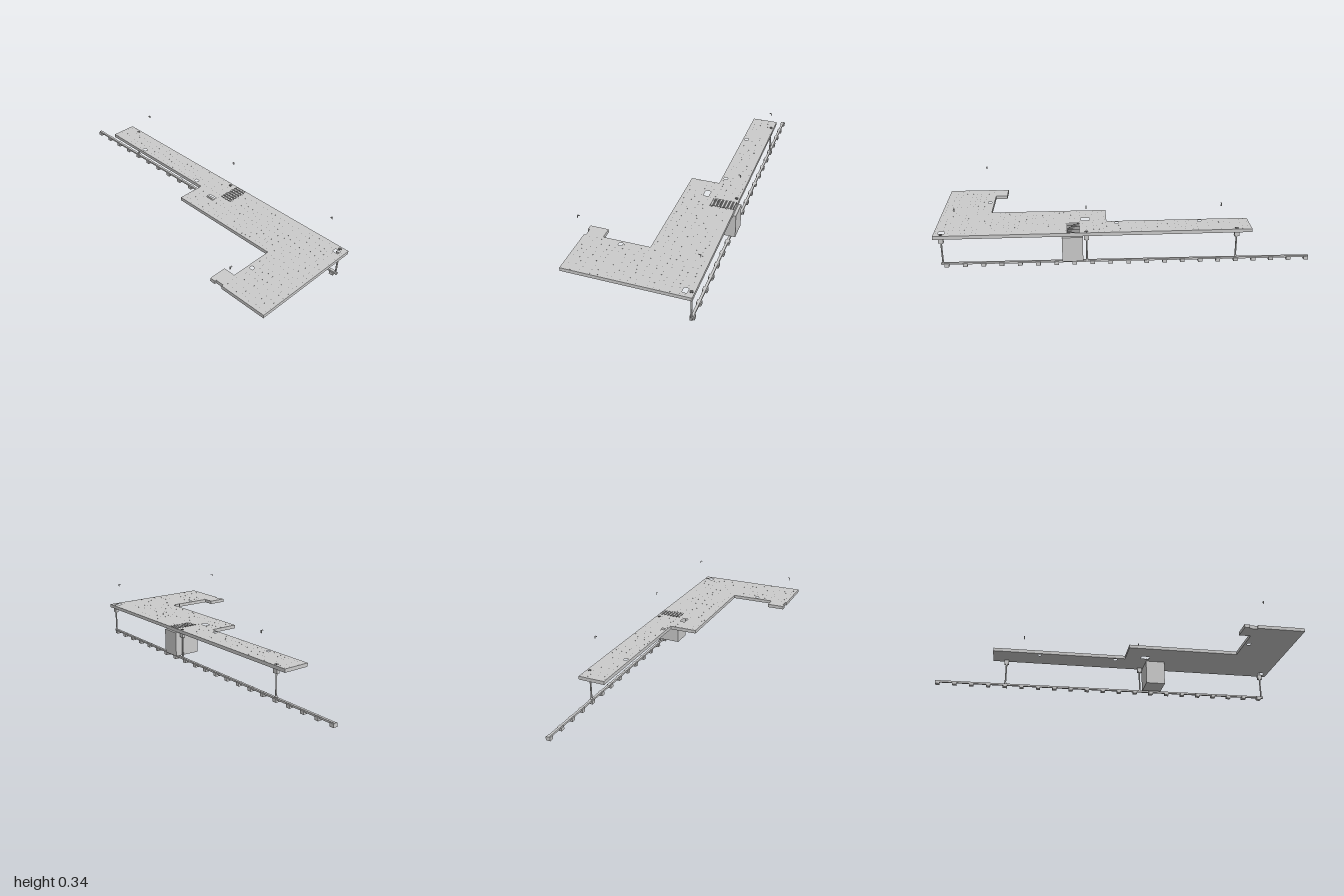
import * as THREE from 'three';
import { mergeGeometries } from 'three/addons/utils/BufferGeometryUtils.js';

const grey = new THREE.MeshStandardMaterial({ color: 0xcccccc });
const dark = new THREE.MeshStandardMaterial({ color: 0x555555 });

// Deck outline and openings as [x, z]
const OUTLINE = [
  [0.173, -0.68], [0.32, -0.68], [0.32, 1], [-0.335, 1], [-0.335, 0.735], [-0.325, 0.735],
  [-0.325, 0.69], [-0.335, 0.69], [-0.335, 0.66], [-0.235, 0.66], [-0.235, 0.725],
  [0.015, 0.725], [0.015, 0.09], [0.173, 0.09],
];
// Openings as [x, z, width, depth]
const OPENINGS = [
  [0.195, -0.415, 0.02, 0.02], [0.195, 0.035, 0.02, 0.02], [0.14, 0.205, 0.03, 0.048],
  [-0.132, 0.75, 0.02, 0.02], [0.275, 0.96, 0.025, 0.032],
];
const TOP = 0.193, BOTTOM = 0.174, RAIL_X = 0.303;

function mesh(name, geometry, material = grey) {
  const m = new THREE.Mesh(geometry, material);
  m.name = name;
  return m;
}

function box(w, h, d, x, y, z) {
  return new THREE.BoxGeometry(w, h, d).translate(x, y, z);
}

function createDeck() {
  const toPoint = ([x, z]) => new THREE.Vector2(x, -z);
  const shape = new THREE.Shape(OUTLINE.map(toPoint));
  for (const [x, z, w, d] of OPENINGS) {
    const corners = [[-1, -1], [1, -1], [1, 1], [-1, 1]];
    shape.holes.push(new THREE.Path(corners.map(([a, b]) => toPoint([x + a * w / 2, z + b * d / 2]))));
  }
  const geometry = new THREE.ExtrudeGeometry(shape, { depth: TOP - BOTTOM, bevelEnabled: false });
  return mesh('deck', geometry.rotateX(-Math.PI / 2).translate(0, BOTTOM, 0));
}

// Short joints between planks, scattered over the deck
function createPlankJoints() {
  let seed = 7;
  const random = () => (seed = (seed * 16807) % 2147483647) / 2147483647;
  const areas = [[0.18, 0.31, -0.67, 0.09], [0.025, 0.31, 0.1, 0.73], [-0.32, 0.31, 0.74, 0.99]];
  const parts = [];
  for (const [x0, x1, z0, z1] of areas) {
    for (let z = z0; z < z1; z += 0.03) {
      for (let x = x0; x < x1; x += 0.04) {
        const px = x + random() * 0.02, pz = z + random() * 0.015;
        const blocked = OPENINGS.some(([ox, oz, w, d]) =>
          Math.abs(px - ox) < w / 2 + 0.006 && Math.abs(pz - oz) < d / 2 + 0.004);
        if (!blocked && px < x1) parts.push(box(0.007, 0.0006, 0.0015, px, TOP, pz));
      }
    }
  }
  return mesh('plankJoints', mergeGeometries(parts), dark);
}

// Flat hatch with a row of slats
function createHatch() {
  const group = new THREE.Group();
  group.name = 'hatch';
  group.add(mesh('hatchPlate', box(0.13, 0.001, 0.07, 0.25, TOP + 0.0005, 0.27), dark));
  const slats = [];
  for (let i = 0; i < 7; i++) slats.push(box(0.006, 0.0015, 0.066, 0.193 + i * 0.019, TOP + 0.001, 0.27));
  group.add(mesh('hatchSlats', mergeGeometries(slats)));
  return group;
}

// Post hanging from the deck and standing on the rail
function createPost(z) {
  const group = new THREE.Group();
  group.name = 'post';
  group.add(mesh('postBracket', box(0.018, 0.026, 0.026, RAIL_X, 0.161, z)));
  group.add(mesh('postRod', new THREE.CylinderGeometry(0.0045, 0.0045, 0.12, 12).translate(RAIL_X, 0.089, z)));
  group.add(mesh('postCollar', new THREE.CylinderGeometry(0.007, 0.007, 0.005, 12).translate(RAIL_X, 0.146, z)));
  group.add(mesh('postFoot', new THREE.SphereGeometry(0.007, 12, 8).translate(RAIL_X, 0.03, z)));
  group.add(mesh('postCap', new THREE.CylinderGeometry(0.01, 0.01, 0.002, 12).translate(RAIL_X, TOP + 0.0005, z), dark));
  return group;
}

// Gently sloping rail on evenly spaced blocks
function createRail() {
  const group = new THREE.Group();
  group.name = 'rail';
  const rise = z => 0.0055 * (z + 1);
  const bar = new THREE.BoxGeometry(0.013, 0.01, 1.97).translate(RAIL_X, 0.017, -0.015);
  const p = bar.attributes.position;
  for (let i = 0; i < p.count; i++) p.setY(i, p.getY(i) + rise(p.getZ(i)));
  bar.computeVertexNormals();
  group.add(mesh('railBar', bar));
  for (let i = 0; i < 21; i++) {
    const z = 0.941 - i * 0.0964;
    group.add(mesh('railBlock', box(0.025, 0.019, 0.024, RAIL_X, 0.0095 + rise(z), z)));
  }
  return group;
}

// Small angle piece floating above the deck edge
function createAngle(side, edge, z) {
  const arm = box(0.012, 0.002, 0.006, edge - side * 0.006, 0.343, z);
  const leg = box(0.002, 0.015, 0.006, edge - side * 0.001, 0.3365, z);
  return mesh('edgeAngle', mergeGeometries([arm, leg]));
}

export function createModel() {
  const model = new THREE.Group();
  model.name = 'platform';
  model.add(createDeck(), createPlankJoints(), createHatch(), createRail());
  model.add(mesh('cabin', box(0.148, 0.138, 0.11, 0.261, 0.105, 0.275)));
  for (const z of [0.96, 0.2, -0.6]) model.add(createPost(z));
  for (const z of [0.875, 0.2, -0.505]) model.add(createAngle(1, 0.32, z));
  model.add(createAngle(-1, -0.335, 0.78));
  return model;
}
